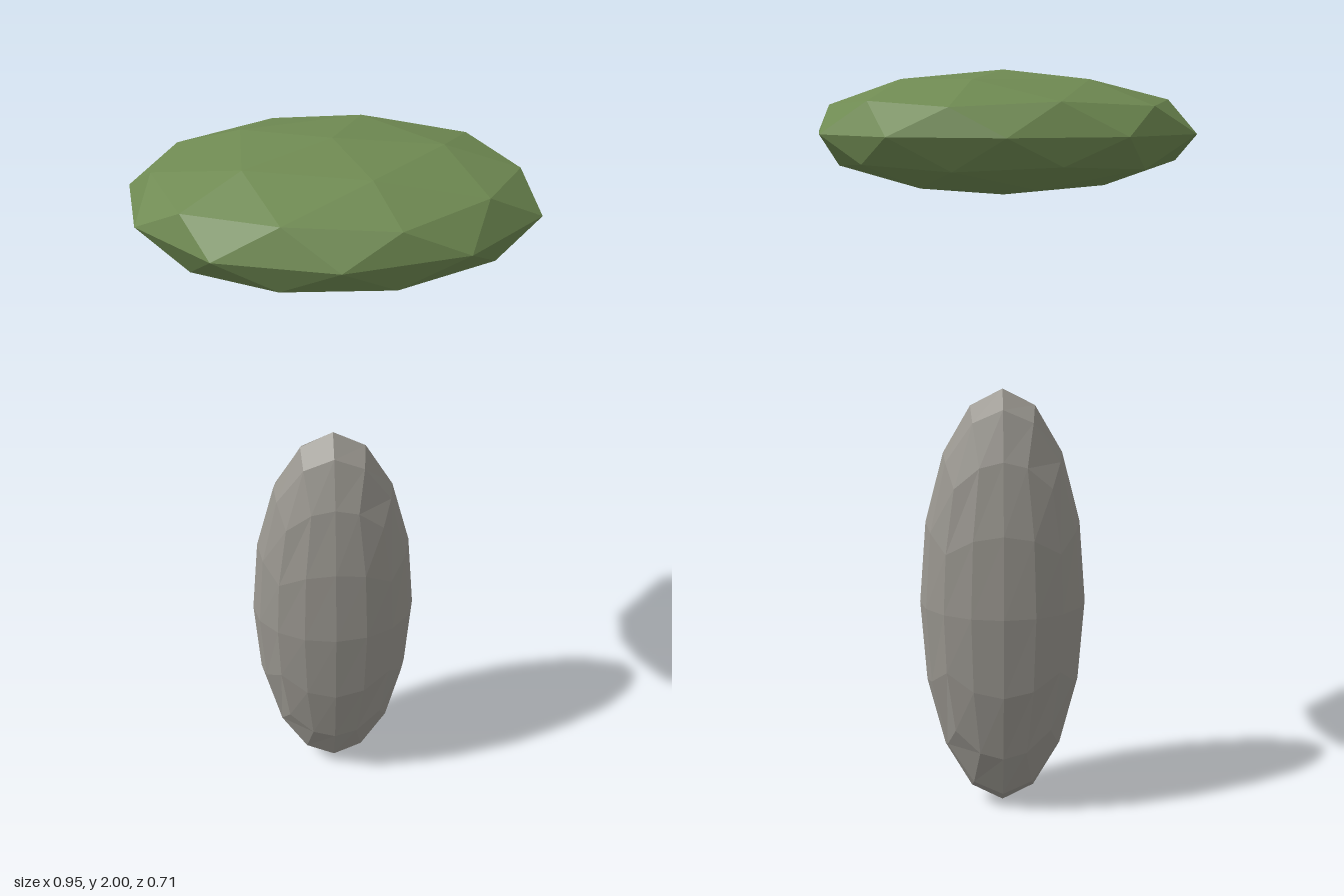
import * as THREE from 'three';

// Facets a geometry and wraps it in a named flat-shaded mesh
function facetedMesh(name, geometry, color) {
  const faceted = geometry.index ? geometry.toNonIndexed() : geometry;
  faceted.computeVertexNormals();
  const material = new THREE.MeshStandardMaterial({ color, flatShading: true });
  const mesh = new THREE.Mesh(faceted, material);
  mesh.name = name;
  return mesh;
}

// Moves every vertex by a rule
function reshape(geometry, rule) {
  const pos = geometry.attributes.position;
  const v = new THREE.Vector3();
  for (let i = 0; i < pos.count; i++) {
    rule(v.fromBufferAttribute(pos, i));
    pos.setXYZ(i, v.x, v.y, v.z);
  }
  return geometry;
}

// Trunk: a 4x4-per-side cube rounded to a sphere, stretched tall and slim
function createTrunk() {
  const bend = (t) => Math.tan(t * Math.PI / 4);
  const geometry = reshape(new THREE.BoxGeometry(2, 2, 2, 4, 4, 4), (v) => {
    v.set(bend(v.x), bend(v.y), bend(v.z)).normalize();
  });
  geometry.scale(0.225, 0.592, 0.16).translate(0.005, 0.592, -0.003);
  return facetedMesh('trunk', geometry, 0x99968f);
}

// Canopy: a flattened icosphere, pole up, with slightly skewed ends
function createCanopy() {
  const geometry = new THREE.IcosahedronGeometry(1, 1);
  geometry.rotateZ(-Math.atan2(1, (1 + Math.sqrt(5)) / 2));
  geometry.scale(0.49, 0.155, 0.357);
  reshape(geometry, (v) => {
    v.x += 0.1 * v.z * (v.x / 0.47) ** 4;
  });
  geometry.translate(0.003, 1.845, -0.002);
  return facetedMesh('canopy', geometry, 0x6f8a52);
}

export function createModel() {
  const model = new THREE.Group();
  model.name = 'tree';
  model.add(createTrunk(), createCanopy());
  return model;
}
